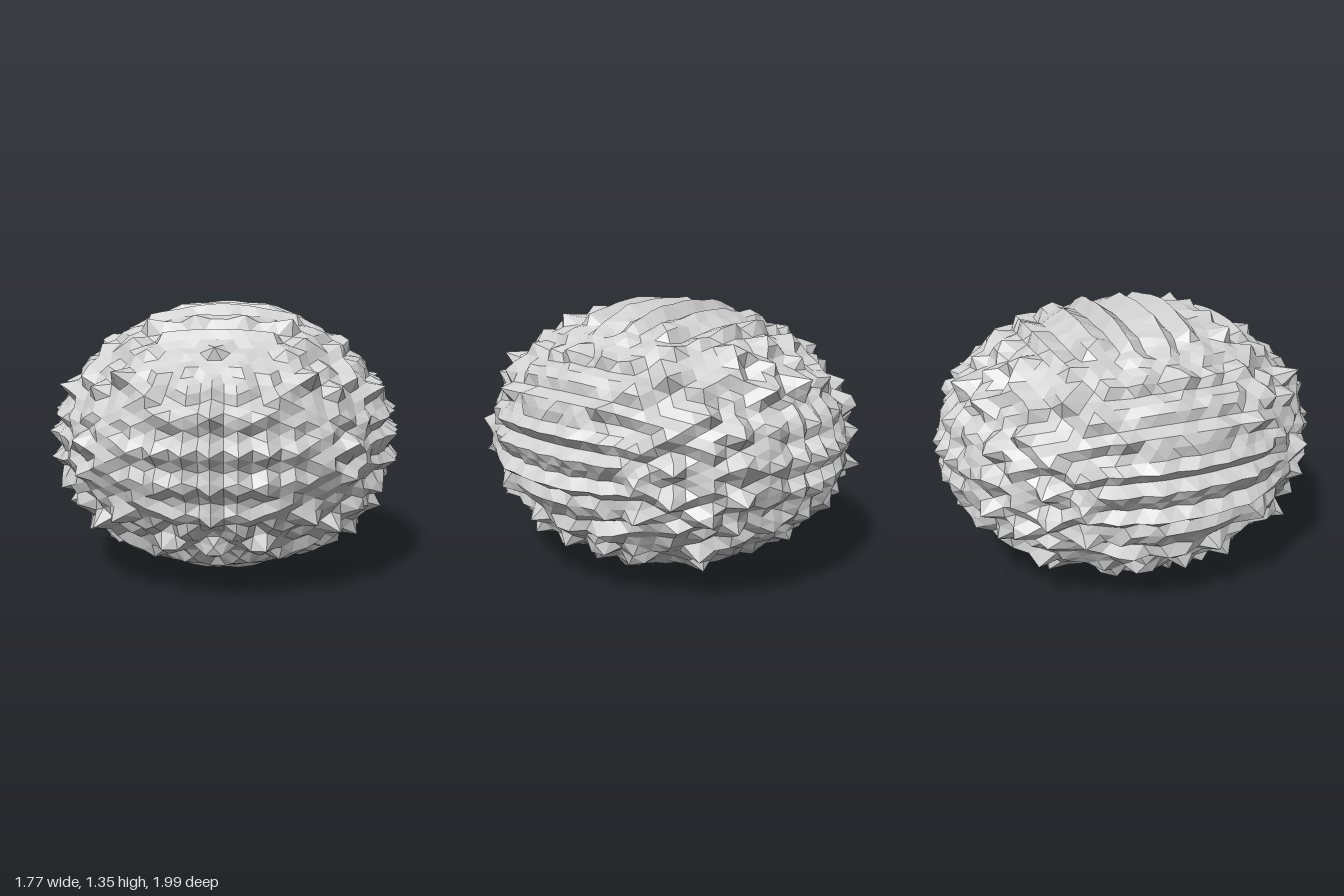
import * as THREE from 'three';

// Ripple height on the unit sphere: ridges at the six poles, knobs in between
function ripple(x, y, z) {
  const xx = x * x, yy = y * y, zz = z * z;
  const ridges =
    yy * yy * Math.sin(36 * z) +                                        // top and bottom: ridges along x
    xx * xx * (0.75 * Math.sin(36 * y) + 0.25 * Math.cos(38 * z)) +     // sides: ridges along z
    zz * zz * (0.5 * Math.cos(41 * x) + 0.5 * Math.sin(27 * y));        // front and back: studs
  const between = 1.5 * (1 - xx * xx - yy * yy - zz * zz);
  const knobs = 0.5 * Math.cos(26 * x) * (Math.sin(27 * y) + Math.sin(28 * z))
    + 0.4 * Math.sin(27 * y) * Math.sin(28 * z);
  return 0.055 * ridges + between * (0.08 * knobs + 0.012);
}

export function createModel() {
  const group = new THREE.Group();
  group.name = 'rock';

  const stone = new THREE.MeshStandardMaterial({ color: 0xd0d0d0 });
  stone.name = 'stone grey';
  stone.flatShading = true;

  // Faceted ellipsoid pushed in and out along its radius
  const geometry = new THREE.IcosahedronGeometry(1, 14);
  const radii = new THREE.Vector3(0.855, 0.65, 0.945);
  const pos = geometry.attributes.position;
  const v = new THREE.Vector3();
  for (let i = 0; i < pos.count; i++) {
    v.fromBufferAttribute(pos, i).normalize();
    v.multiplyScalar(1 + ripple(v.x, v.y, v.z)).multiply(radii);
    pos.setXYZ(i, v.x, v.y + 0.68, v.z + 0.01);
  }
  geometry.computeVertexNormals();

  const body = new THREE.Mesh(geometry, stone);
  body.name = 'rockBody';
  group.add(body);
  return group;
}
